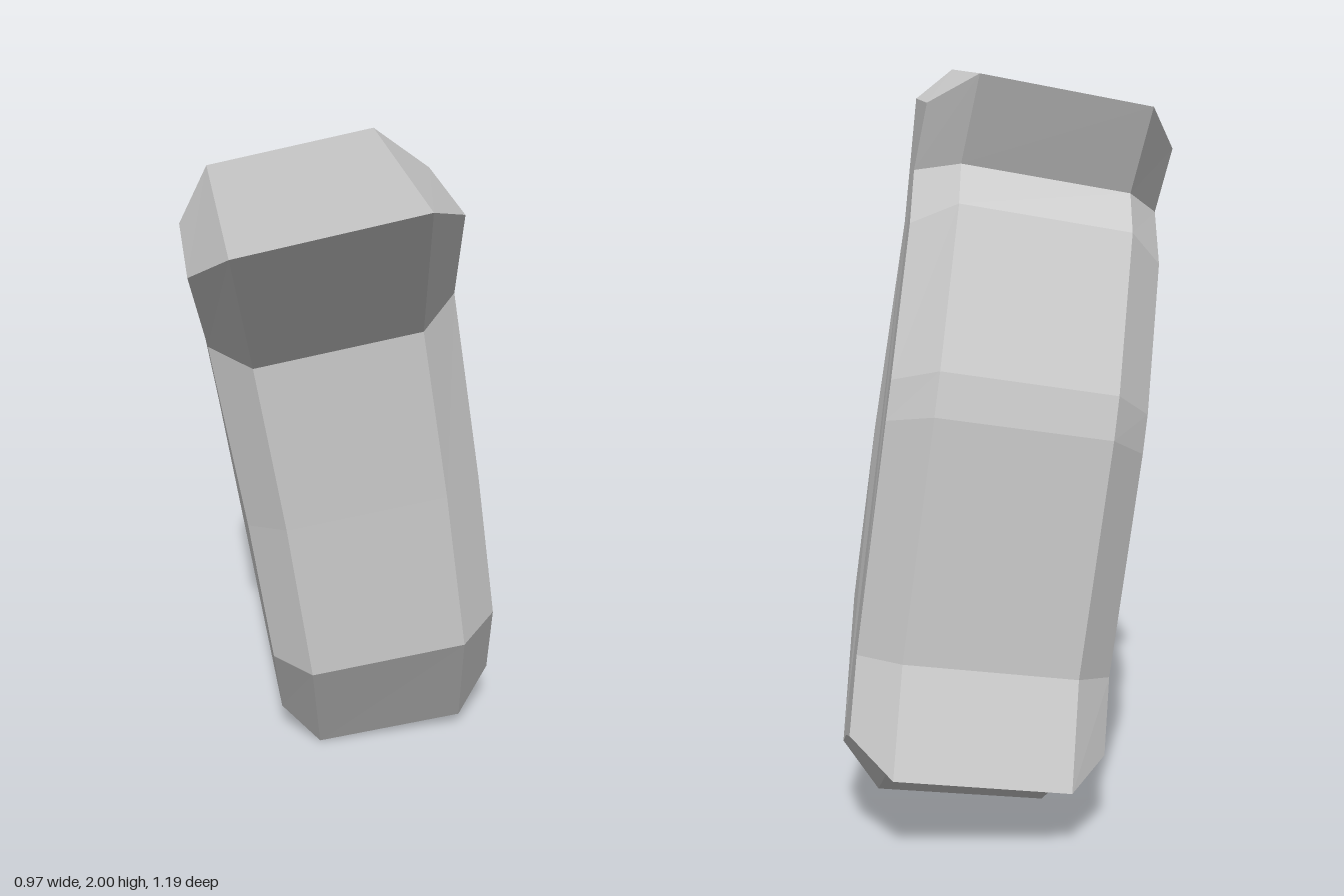
import * as THREE from 'three';

// Side profile as [z, y] pairs: wide middle band and the smaller side face it bevels down to.
// Both run from the front tip over the top, down the back and up the front.
const band = [
  [0.59, 2.0], [-0.28, 1.93], [-0.18, 1.71], [-0.295, 1.61], [-0.465, 1.21], [-0.485, 1.1],
  [-0.47, 0.485], [-0.56, 0.22], [-0.33, 0.15], [-0.17, 0.055], [0.09, 0.505], [0.085, 1.0], [0.09, 1.5],
].reverse();
const face = [
  [0.35, 1.9], [-0.115, 1.865], [-0.04, 1.695], [-0.2, 1.56], [-0.36, 1.18], [-0.375, 1.08],
  [-0.36, 0.485], [-0.42, 0.295], [-0.28, 0.25], [-0.195, 0.205], [0.005, 0.545], [0, 1.0], [0, 1.56],
].reverse();

// Places a profile on the leaning plane; shift slides it across the width to the right side.
function ring(profile, offset, shift) {
  return profile.map(([z, y]) => {
    const x = offset + 0.02 * Math.sin(Math.PI * y / 2) - 0.144 * y - 0.11 * z;
    return [x - 0.44 * shift, y - (0.05 + 0.015 * y) * shift, z - 0.045 * shift];
  });
}

export function createModel() {
  const rings = [
    ring(face, 0.468, 0), ring(band, 0.358, 0),
    ring(band, 0.358, 1), ring(face, 0.468, 1.465),
  ];
  const n = band.length;
  const index = [];

  // Bevels and middle band
  for (let r = 0; r < 3; r++) {
    for (let i = 0; i < n; i++) {
      const j = (i + 1) % n;
      const a = r * n + i, b = a + n, c = (r + 1) * n + j, d = r * n + j;
      index.push(a, b, c, a, c, d);
    }
  }

  // Flat side faces
  const contour = face.map(([z, y]) => new THREE.Vector2(-z, y));
  for (const [a, b, c] of THREE.ShapeUtils.triangulateShape(contour, [])) {
    index.push(a, b, c, 3 * n + a, 3 * n + c, 3 * n + b);
  }

  const indexed = new THREE.BufferGeometry();
  indexed.setAttribute('position', new THREE.Float32BufferAttribute(rings.flat(2), 3));
  indexed.setIndex(index);
  const geometry = indexed.toNonIndexed();
  geometry.computeVertexNormals();

  const body = new THREE.Mesh(geometry, new THREE.MeshStandardMaterial({ color: 0xcccccc, flatShading: true }));
  body.name = 'bevelledBody';
  const group = new THREE.Group();
  group.name = 'leaningBlock';
  group.add(body);
  return group;
}
